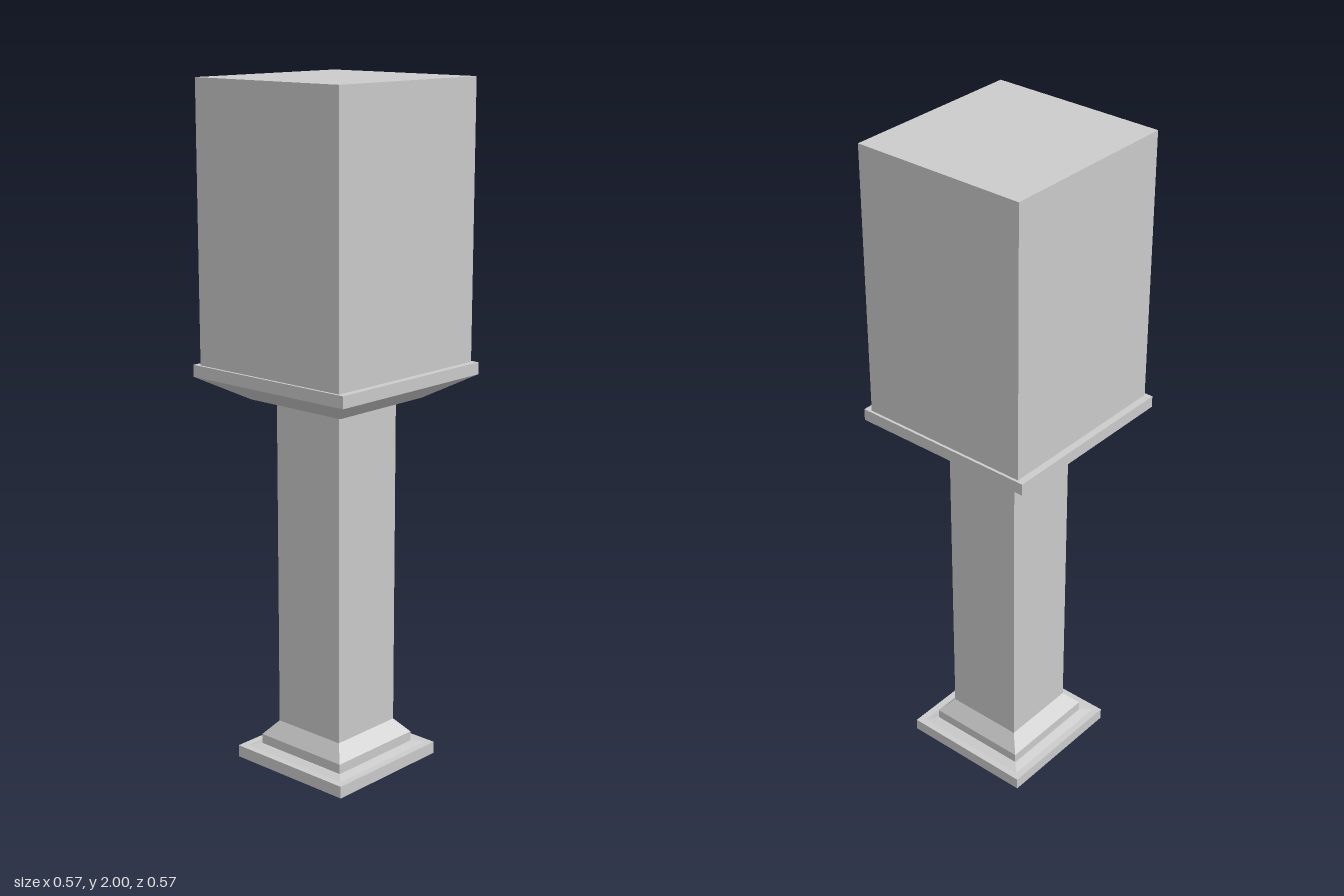
import * as THREE from 'three';

export function createModel() {
  const group = new THREE.Group();
  const material = new THREE.MeshStandardMaterial({ color: 0xcccccc, flatShading: true });

  // Square tier from y0 to y1, with half widths at its bottom and top
  function tier(name, y0, y1, bottom, top = bottom) {
    const geometry = new THREE.CylinderGeometry(top * Math.SQRT2, bottom * Math.SQRT2, y1 - y0, 4);
    geometry.rotateY(Math.PI / 4);
    const mesh = new THREE.Mesh(geometry, material);
    mesh.name = name;
    mesh.position.y = (y0 + y1) / 2;
    group.add(mesh);
    return mesh;
  }

  // Stepped foot
  tier('plinth', 0, 0.036, 0.207);
  tier('plinthSlope', 0.036, 0.042, 0.186, 0.16);
  tier('footStep', 0.042, 0.071, 0.157);
  tier('footChamfer', 0.071, 0.114, 0.157, 0.12);

  // Post and flared capital
  tier('shaft', 0.114, 1.1, 0.12);
  tier('capitalFlare', 1.1, 1.167, 0.172, 0.286);
  tier('capitalSlab', 1.167, 1.202, 0.286);

  // Tall block, slightly shallower than wide
  const block = tier('upperBlock', 1.202, 2, 0.278);
  block.scale.z = 0.265 / 0.278;

  return group;
}
